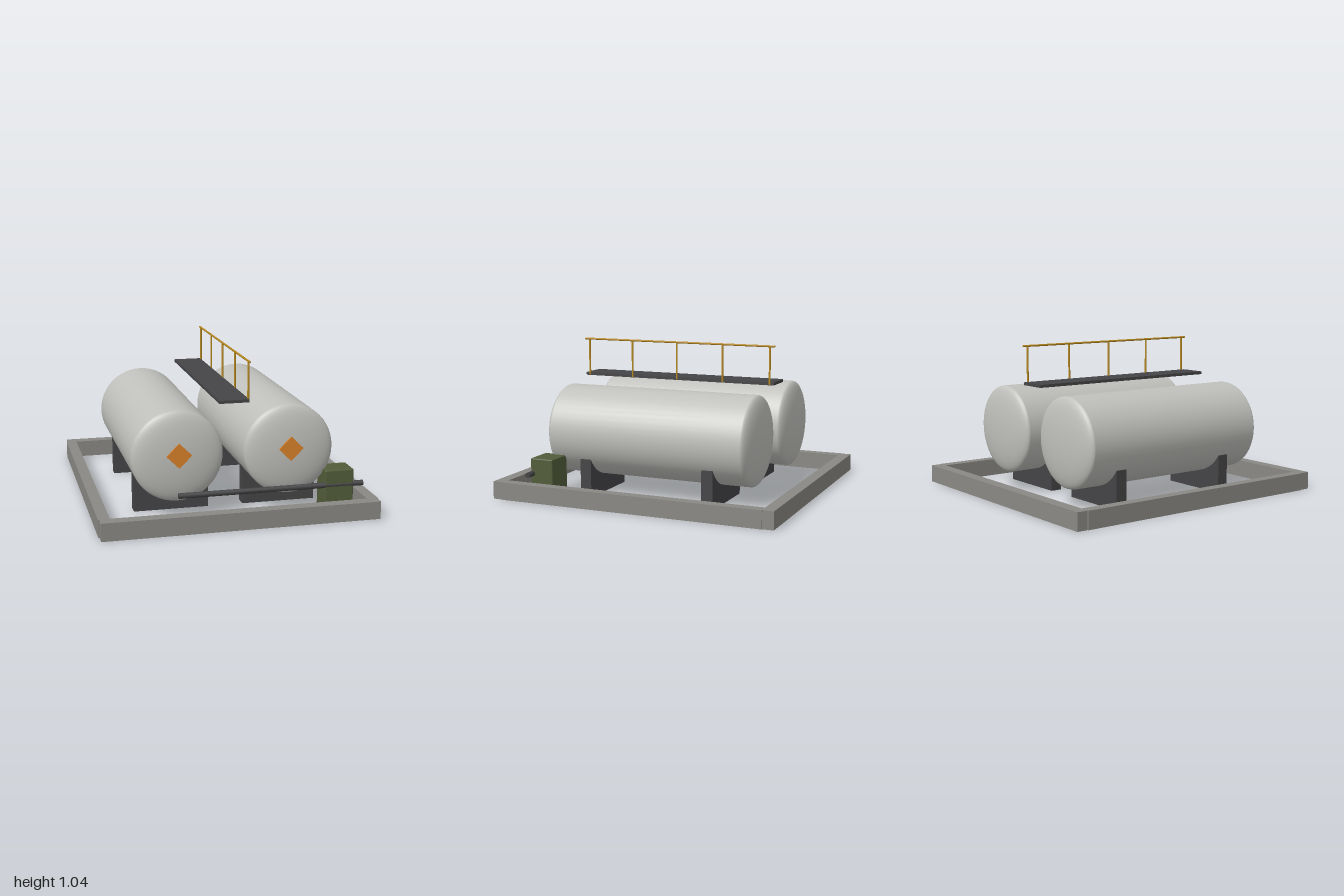
import * as THREE from 'three';
import { RoundedBoxGeometry } from 'three/addons/geometries/RoundedBoxGeometry.js';

const mat = (name, color, extra = {}) => {
  const m = new THREE.MeshStandardMaterial({ color, ...extra });
  m.name = name;
  return m;
};

export function createModel() {
  const paleGrey = mat('tankGrey', 0xc0c0bc);
  const frameGrey = mat('frameGrey', 0x8a8984);
  const darkGrey = mat('darkSteel', 0x454547);
  const orange = mat('placardOrange', 0xd9812a);
  const green = mat('pumpGreen', 0x525d3a);
  const yellow = mat('railYellow', 0xb88a20);

  const model = new THREE.Group();
  model.name = 'twinTankSkid';

  const add = (parent, name, geometry, material, x = 0, y = 0, z = 0) => {
    const mesh = new THREE.Mesh(geometry, material);
    mesh.name = name;
    mesh.position.set(x, y, z);
    parent.add(mesh);
    return mesh;
  };
  const group = (name) => {
    const g = new THREE.Group();
    g.name = name;
    model.add(g);
    return g;
  };

  // Rectangular skid frame
  const frame = group('skidFrame');
  for (const s of [-1, 1]) {
    add(frame, 'sideBeam', new THREE.BoxGeometry(0.075, 0.12, 1.85), frameGrey, s * 0.89, 0.06, 0);
    add(frame, 'endBeam', new THREE.BoxGeometry(1.84, 0.12, 0.08), frameGrey, 0, 0.06, s * 0.96);
  }

  // Tank profile: shallow elliptical domes joined by a straight shell
  const R = 0.305, half = 0.685, dome = 0.07, steps = 12;
  const profile = [];
  for (let i = 0; i <= steps; i++) {
    const a = (i / steps) * Math.PI / 2;
    profile.push(new THREE.Vector2(R * Math.sin(a), -half - dome * Math.cos(a)));
  }
  for (let i = steps; i >= 0; i--) {
    profile.push(new THREE.Vector2(profile[i].x, -profile[i].y));
  }
  const tankGeometry = new THREE.LatheGeometry(profile, 48).rotateX(Math.PI / 2);

  // Two tanks, each with saddles and a diamond placard
  for (const s of [-1, 1]) {
    const tank = group(s > 0 ? 'leftTank' : 'rightTank');
    tank.position.x = s * 0.375;
    add(tank, 'tankShell', tankGeometry, paleGrey, 0, 0.43, 0);
    for (const z of [-0.445, 0.445]) {
      add(tank, 'saddle', new THREE.BoxGeometry(0.51, 0.262, 0.08), darkGrey, 0, 0.131, z);
    }
    const placard = add(tank, 'placard', new THREE.BoxGeometry(0.118, 0.118, 0.0095), orange, 0, 0.448, 0.762);
    placard.rotation.z = Math.PI / 4;
  }

  // Raised walkway with a handrail along one edge
  const walkway = group('walkway');
  add(walkway, 'walkwayDeck', new THREE.BoxGeometry(0.2, 0.02, 1.43), darkGrey, 0, 0.775, 0);
  for (let i = -2; i <= 2; i++) {
    add(walkway, 'railPost', new THREE.CylinderGeometry(0.007, 0.007, 0.26, 8), yellow, 0.1, 0.9, i * 0.3425);
  }
  add(walkway, 'handrail', new THREE.CylinderGeometry(0.007, 0.007, 1.44, 8).rotateX(Math.PI / 2),
    yellow, 0.1, 1.03, 0);

  // Manifold pipe and pump housing
  add(model, 'manifoldPipe', new THREE.CylinderGeometry(0.0185, 0.0185, 1.265, 16).rotateZ(Math.PI / 2),
    darkGrey, 0.2525, 0.176, 0.751);
  add(model, 'pumpHousing', new RoundedBoxGeometry(0.2, 0.28, 0.167, 2, 0.008), green, 0.715, 0.14, 0.683);

  return model;
}
